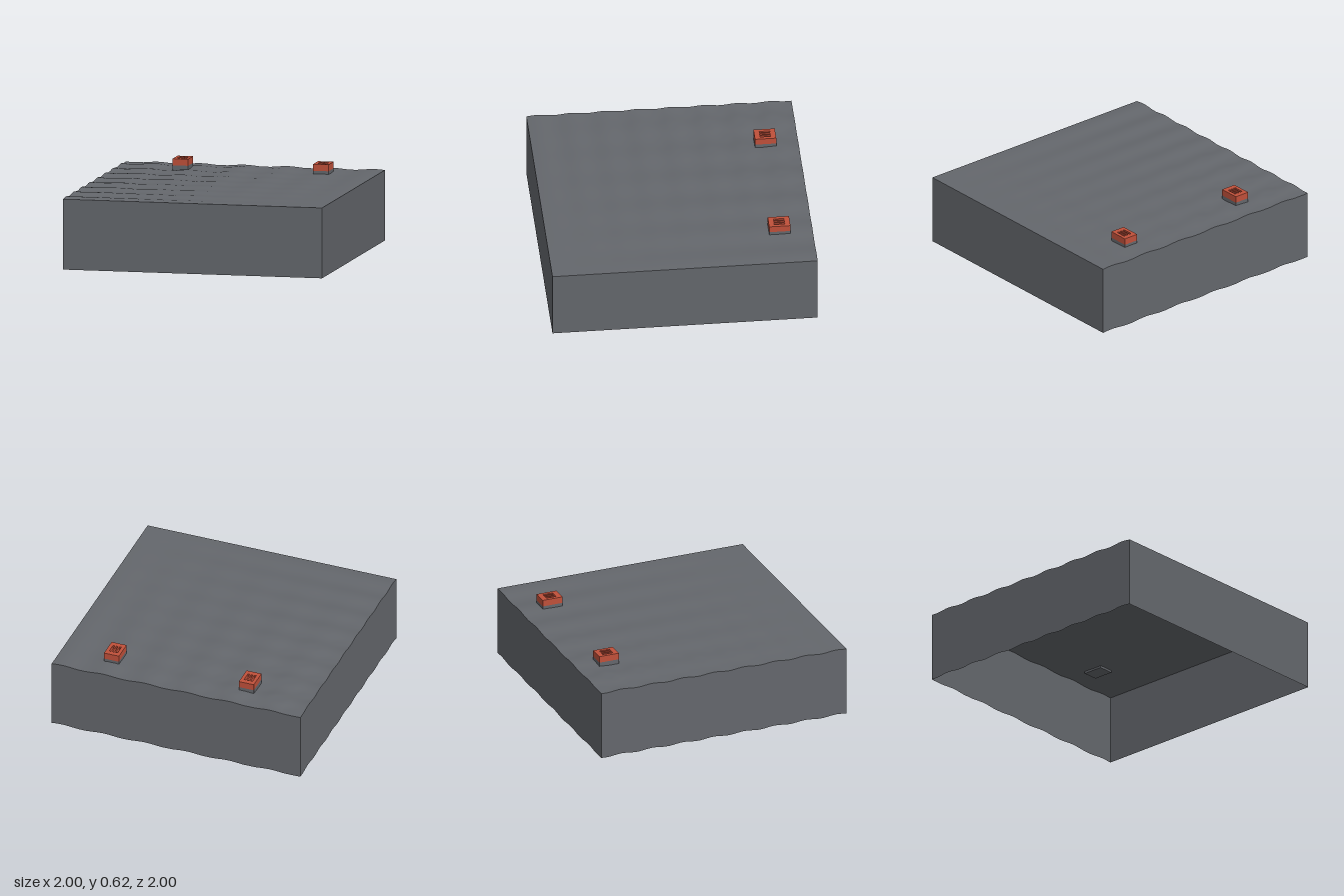
import * as THREE from 'three';

const DEPTH = 0.534;

// Gentle ripples, strongest along the back and right borders
function height(x, z) {
  const fadeX = (1 - x) / 2, fadeZ = (1 - z) / 2;
  const alongX = Math.cos((x - 0.92) * Math.PI * 2 / 0.335);
  const alongZ = Math.cos((z - 0.915) * Math.PI * 2 / 0.25);
  return 0.54 + 0.0055 * Math.max(-1, Math.min(1, fadeZ * alongX + fadeX * alongZ));
}

export function createModel() {
  const stone = new THREE.MeshStandardMaterial({ color: 0x64676c, side: THREE.DoubleSide });
  stone.name = 'slateGrey';
  const red = new THREE.MeshStandardMaterial({ color: 0xc0503a });
  red.name = 'brickRed';

  const model = new THREE.Group();
  const add = (parent, name, geometry, material, x = 0, y = 0, z = 0) => {
    const mesh = new THREE.Mesh(geometry, material);
    mesh.name = name;
    mesh.position.set(x, y, z);
    parent.add(mesh);
    return mesh;
  };

  // Rippled ground surface
  const ground = new THREE.PlaneGeometry(2, 2, 72, 72).rotateX(-Math.PI / 2);
  const gp = ground.attributes.position;
  for (let i = 0; i < gp.count; i++) gp.setY(i, height(gp.getX(i), gp.getZ(i)));
  ground.computeVertexNormals();
  add(model, 'groundSurface', ground, stone);

  // Four skirt walls of constant depth, open underneath
  ['front', 'left', 'back', 'right'].forEach((side, k) => {
    const wall = new THREE.PlaneGeometry(2, 2, 72, 1).translate(0, 0, 1).rotateY(k * Math.PI / 2);
    const p = wall.attributes.position;
    for (let i = 0; i < p.count; i++) {
      const top = p.getY(i) > 0;
      p.setY(i, height(p.getX(i), p.getZ(i)) - (top ? 0 : DEPTH));
    }
    add(model, side + 'Wall', wall, stone);
  });

  // Slotted cap for the vent boxes
  const cap = new THREE.Shape([[-0.06, -0.08], [0.06, -0.08], [0.06, 0.08], [-0.06, 0.08]]
    .map(([x, y]) => new THREE.Vector2(x, y)));
  for (const s of [-0.026, 0, 0.026]) {
    cap.holes.push(new THREE.Path([[-0.008, -0.04], [-0.008, 0.04], [0.008, 0.04], [0.008, -0.04]]
      .map(([x, y]) => new THREE.Vector2(s + x, y))));
  }
  const capGeometry = new THREE.ExtrudeGeometry(cap, { depth: 0.05, bevelEnabled: false })
    .rotateX(-Math.PI / 2);

  // Two vent boxes near the back
  for (const [name, x, y] of [['rightVent', -0.5, 0.57], ['leftVent', 0.585, 0.566]]) {
    const vent = new THREE.Group();
    vent.name = name;
    vent.position.set(x, y, -0.75);
    add(vent, 'ventBase', new THREE.BoxGeometry(0.12, 0.04, 0.16), stone, 0, -0.02, 0);
    add(vent, 'ventCap', capGeometry, red);
    model.add(vent);
  }
  return model;
}
